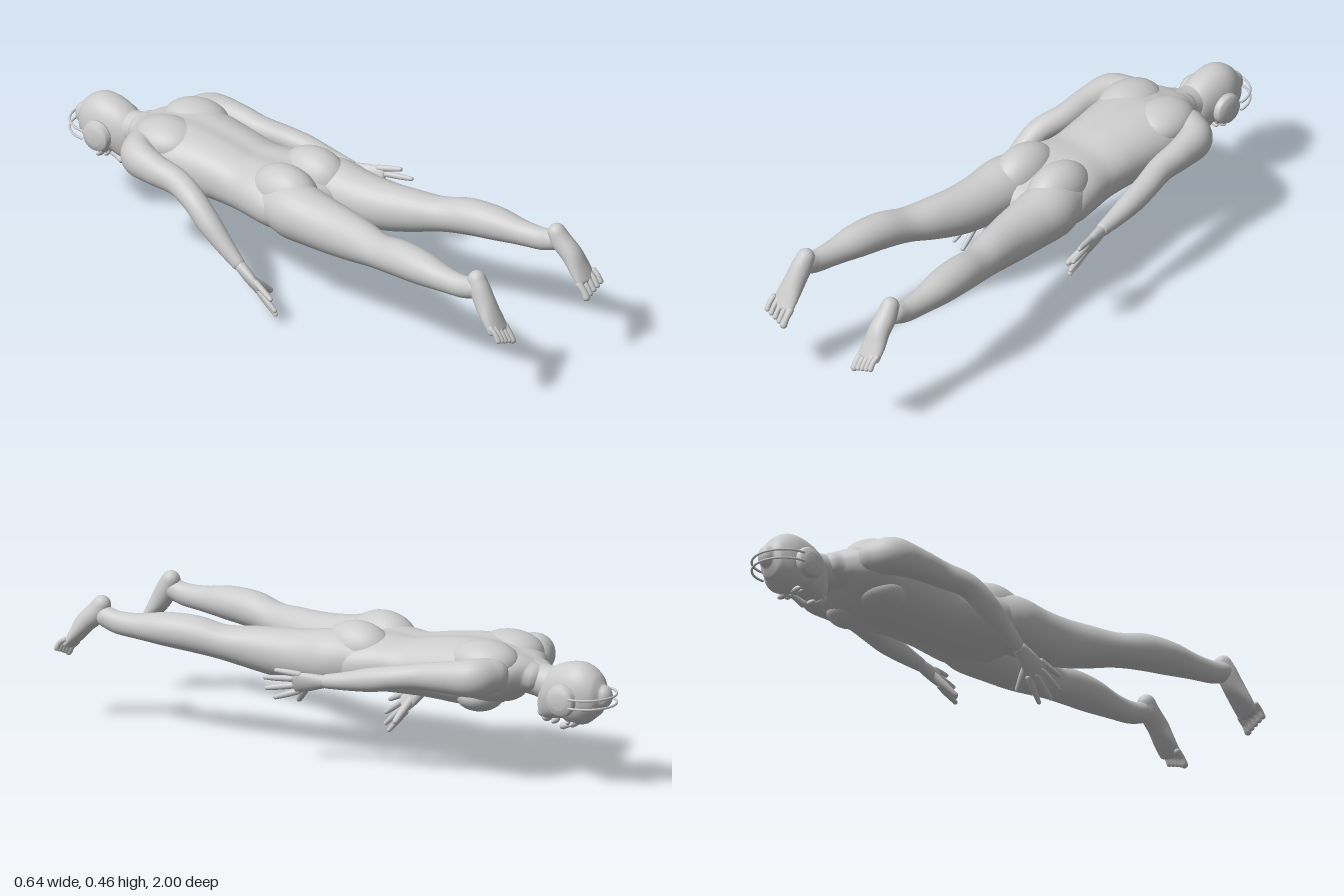
import * as THREE from 'three';

const V = (x, y, z) => new THREE.Vector3(x, y, z);
const CX = -0.02; // body centre line
const mat = new THREE.MeshStandardMaterial({ color: 0xcccccc, side: THREE.DoubleSide });

function add(parent, name, geo) {
  const m = new THREE.Mesh(geo, mat);
  m.name = name;
  parent.add(m);
  return m;
}

// Smooth loft through sections [x, y, z, rx, ry] with rounded ends
function loft(sections, { side = V(1, 0, 0), seg = 28, sub = 6, power = 2, mod = null } = {}) {
  const path = new THREE.CatmullRomCurve3(sections.map(s => V(s[0], s[1], s[2])));
  const radii = new THREE.CatmullRomCurve3(sections.map(s => V(s[3], s[4], 0)), false, 'catmullrom', 0.5);
  const n = (sections.length - 1) * sub, cap = 5, rings = [];
  for (let k = cap - 1; k > 0; k--) rings.push([0, -k / cap]);
  for (let i = 0; i <= n; i++) rings.push([i / n, 0]);
  for (let k = 1; k < cap; k++) rings.push([1, k / cap]);
  const pos = [], idx = [];
  const put = v => pos.push(v.x, v.y, v.z);
  const frame = (t, c) => {
    const T = path.getTangent(t);
    const S = side.clone().addScaledVector(T, -side.dot(T)).normalize();
    const r = radii.getPoint(t), a = c * Math.PI / 2;
    const P = path.getPoint(t).addScaledVector(T, Math.sin(a) * Math.min(r.x, r.y));
    return { P, S, U: T.clone().cross(S), rx: r.x * Math.cos(a), ry: r.y * Math.cos(a) };
  };
  const soft = v => Math.sign(v) * Math.abs(v) ** (2 / power);
  for (const [t, c] of rings) {
    const f = frame(t, c);
    for (let j = 0; j < seg; j++) {
      const a = j / seg * Math.PI * 2, k = mod ? mod(a, t) : 1;
      put(f.P.clone().addScaledVector(f.S, soft(Math.cos(a)) * f.rx * k)
        .addScaledVector(f.U, soft(Math.sin(a)) * f.ry * k));
    }
  }
  const last = rings.length - 1, p0 = rings.length * seg;
  put(frame(0, -1).P);
  put(frame(1, 1).P);
  for (let j = 0; j < seg; j++) {
    const q = (j + 1) % seg;
    for (let i = 0; i < last; i++) {
      const a = i * seg + j, b = i * seg + q;
      idx.push(a, b, a + seg, b, b + seg, a + seg);
    }
    idx.push(p0, q, j, p0 + 1, last * seg + j, last * seg + q);
  }
  const g = new THREE.BufferGeometry();
  g.setAttribute('position', new THREE.Float32BufferAttribute(pos, 3));
  g.setIndex(idx);
  g.computeVertexNormals();
  return g;
}

function ellipsoid(parent, name, p, r) {
  const m = add(parent, name, new THREE.SphereGeometry(1, 28, 20));
  m.position.set(...p);
  m.scale.set(...r);
  return m;
}

// Palm, four fingers (little finger first) and thumb
function hand(parent, name, wrist, tips, thumb) {
  const g = new THREE.Group();
  g.name = name;
  parent.add(g);
  const mean = tips.reduce((s, t) => s.add(t), V(0, 0, 0)).multiplyScalar(0.25);
  const centre = wrist.clone().lerp(mean, 0.5), mid = wrist.clone().lerp(centre, 0.5);
  const side = tips[3].clone().sub(tips[0]).normalize();
  add(g, 'palm', loft([[...wrist, 0.023, 0.019], [...mid, 0.032, 0.018], [...centre, 0.037, 0.013]], { side }));
  const finger = (label, a, b, r) => {
    const m = a.clone().lerp(b, 0.5);
    add(g, label, loft([[...a, r, r], [...m, r * 0.95, r * 0.95],
      [...m.lerp(b, 0.8), r * 0.72, r * 0.72]], { side, seg: 12, sub: 4 }));
  };
  tips.forEach(t => {
    const knuckle = centre.clone().addScaledVector(t.clone().sub(mean), 0.6);
    finger('finger', knuckle, t, 0.0105);
  });
  finger('thumb', mid, thumb, 0.014);
}

export function createModel() {
  const model = new THREE.Group();
  model.name = 'proneFigure';

  // Torso, with a shallow groove along the spine
  const torso = [
    [-0.70, 0.355, 0.075, 0.053], [-0.66, 0.36, 0.135, 0.068], [-0.61, 0.357, 0.172, 0.092],
    [-0.54, 0.35, 0.175, 0.113], [-0.45, 0.346, 0.166, 0.114], [-0.35, 0.34, 0.154, 0.106],
    [-0.25, 0.331, 0.152, 0.097], [-0.15, 0.332, 0.172, 0.1], [-0.06, 0.325, 0.18, 0.092],
    [0.0, 0.32, 0.14, 0.07],
  ].map(([z, y, rx, ry]) => [CX, y, z, rx, ry]);
  add(model, 'torso', loft(torso, {
    seg: 64, power: 2.25,
    mod: a => 1 - 0.07 * Math.exp(-(((a - Math.PI / 2) / 0.16) ** 2))
      - 0.03 * Math.exp(-(((a - Math.PI * 1.5) / 0.14) ** 2)),
  }));
  for (const s of [-1, 1]) {
    ellipsoid(model, 'buttock', [CX + s * 0.077, 0.37, -0.065], [0.083, 0.094, 0.125]);
    ellipsoid(model, 'shoulderBlade', [CX + s * 0.075, 0.4, -0.555], [0.095, 0.07, 0.12]);
    ellipsoid(model, 'chestMuscle', [CX + s * 0.075, 0.285, -0.535], [0.085, 0.055, 0.08]);
  }

  // Legs and feet; the left foot reaches slightly farther
  for (const s of [-1, 1]) {
    const leg = new THREE.Group();
    leg.name = s < 0 ? 'rightLeg' : 'leftLeg';
    model.add(leg);
    const X = d => CX + s * d;
    const dz = s > 0 ? 0.03 : 0, dy = s > 0 ? 0.015 : 0;
    add(leg, 'legLimb', loft([
      [X(0.095), 0.335, -0.08, 0.08, 0.085], [X(0.102), 0.335, 0, 0.096, 0.097],
      [X(0.106), 0.328, 0.1, 0.088, 0.09], [X(0.116), 0.327, 0.2, 0.078, 0.083],
      [X(0.136), 0.335, 0.3, 0.068, 0.072], [X(0.162), 0.345, 0.4, 0.059, 0.058],
      [X(0.18), 0.362, 0.5, 0.061, 0.061], [X(0.192), 0.366, 0.6, 0.057, 0.056],
      [X(0.201), 0.363, 0.7, 0.042, 0.043], [X(0.205), 0.366, 0.78, 0.034, 0.038],
      [X(0.205), 0.378, 0.825, 0.033, 0.035],
    ]));
    add(leg, 'foot', loft([
      [X(0.2), 0.41 + dy * 0.4, 0.83 + dz * 0.5, 0.03, 0.031],
      [X(0.203), 0.38 + dy * 0.5, 0.845 + dz * 0.6, 0.034, 0.036],
      [X(0.207), 0.335 + dy, 0.872 + dz, 0.037, 0.034],
      [X(0.21), 0.295 + dy, 0.9 + dz, 0.043, 0.026],
      [X(0.211), 0.26 + dy, 0.926 + dz, 0.045, 0.017],
    ]));
    for (let i = 0; i < 5; i++) {
      const r = i === 0 ? 0.0125 : 0.0095, d = 0.176 + i * 0.0185, up = i * 0.007 + dy;
      add(leg, 'toe', loft([
        [X(d), 0.257 + up * 0.8, 0.928 + dz, r, r], [X(d), 0.236 + up, 0.946 + dz, r * 0.9, r * 0.9],
        [X(d), 0.216 + up, 0.958 + dz, r, r],
      ], { seg: 12, sub: 4 }));
    }
  }

  // Arms: the right hangs down, the left lies along the hip
  add(model, 'rightArm', loft([
    [-0.155, 0.375, -0.62, 0.055, 0.058], [-0.212, 0.372, -0.585, 0.058, 0.064], [-0.234, 0.363, -0.5, 0.048, 0.054],
    [-0.24, 0.352, -0.4, 0.043, 0.045], [-0.268, 0.328, -0.31, 0.041, 0.04], [-0.28, 0.275, -0.24, 0.039, 0.04],
    [-0.284, 0.22, -0.175, 0.031, 0.032], [-0.285, 0.17, -0.115, 0.022, 0.024],
  ]));
  hand(model, 'rightHand', V(-0.285, 0.16, -0.1),
    [V(-0.312, 0.095, 0.05), V(-0.302, 0.05, 0.06), V(-0.277, 0.02, 0.045), V(-0.25, 0.006, 0.015)],
    V(-0.198, 0.052, -0.04));
  add(model, 'leftArm', loft([
    [0.115, 0.375, -0.62, 0.055, 0.058], [0.172, 0.372, -0.585, 0.058, 0.064], [0.194, 0.367, -0.5, 0.048, 0.054],
    [0.2, 0.357, -0.4, 0.043, 0.045], [0.222, 0.345, -0.31, 0.041, 0.04], [0.236, 0.33, -0.23, 0.038, 0.04],
    [0.247, 0.315, -0.14, 0.03, 0.031], [0.255, 0.306, -0.07, 0.022, 0.024],
  ]));
  hand(model, 'leftHand', V(0.257, 0.303, -0.055),
    [V(0.31, 0.333, 0.1), V(0.32, 0.305, 0.14), V(0.308, 0.265, 0.14), V(0.285, 0.23, 0.12)],
    V(0.218, 0.213, 0.065));

  // Neck and head, face down
  add(model, 'neck', loft([[CX, 0.358, -0.66, 0.07, 0.06], [CX, 0.342, -0.73, 0.056, 0.057],
    [CX, 0.33, -0.8, 0.056, 0.06]]));
  add(model, 'head', loft([
    [-0.963, 0.322, 0.03, 0.038], [-0.945, 0.322, 0.053, 0.068], [-0.9, 0.322, 0.073, 0.1],
    [-0.85, 0.318, 0.076, 0.104], [-0.8, 0.303, 0.068, 0.092], [-0.765, 0.268, 0.054, 0.058],
    [-0.74, 0.244, 0.036, 0.032], [-0.733, 0.24, 0.022, 0.02],
  ].map(([z, y, rx, ry]) => [CX, y, z, rx, ry]), { seg: 40, power: 2.15 }));
  add(model, 'nose', loft([[CX, 0.217, -0.86, 0.008, 0.009], [CX, 0.208, -0.83, 0.01, 0.01],
    [CX, 0.2, -0.808, 0.014, 0.012]], { seg: 14 }));
  ellipsoid(model, 'lips', [CX, 0.213, -0.777], [0.024, 0.009, 0.009]);
  ellipsoid(model, 'chin', [CX, 0.224, -0.747], [0.024, 0.016, 0.017]);
  for (const s of [-1, 1]) {
    ellipsoid(model, 'brow', [CX + s * 0.029, 0.222, -0.868], [0.027, 0.011, 0.01]);
    ellipsoid(model, 'eye', [CX + s * 0.029, 0.223, -0.846], [0.014, 0.008, 0.008]);
    ellipsoid(model, 'ear', [CX + s * 0.075, 0.325, -0.84], [0.012, 0.022, 0.034]);
  }

  // Headphones: padded cups and a twin-wire band over the crown
  const phones = new THREE.Group();
  phones.name = 'headphones';
  model.add(phones);
  const cup = [[0, 0], [0.042, 0], [0.052, 0.005], [0.054, 0.012], [0.049, 0.018], [0.051, 0.022],
    [0.046, 0.03], [0.031, 0.032], [0.028, 0.036], [0, 0.037]].map(p => new THREE.Vector2(...p));
  for (const s of [-1, 1]) {
    const m = add(phones, 'earCup', new THREE.LatheGeometry(cup, 40));
    m.rotation.z = -s * Math.PI / 2;
    m.position.set(CX + s * 0.066, 0.308, -0.848);
  }
  for (const y of [0.293, 0.323]) {
    const pts = [];
    for (let i = 0; i <= 16; i++) {
      const a = Math.PI * i / 16;
      pts.push(V(CX + 0.104 * Math.cos(a), y, -0.89 - 0.106 * Math.sin(a)));
    }
    add(phones, 'headband', new THREE.TubeGeometry(new THREE.CatmullRomCurve3(pts), 48, 0.004, 8));
  }
  return model;
}
